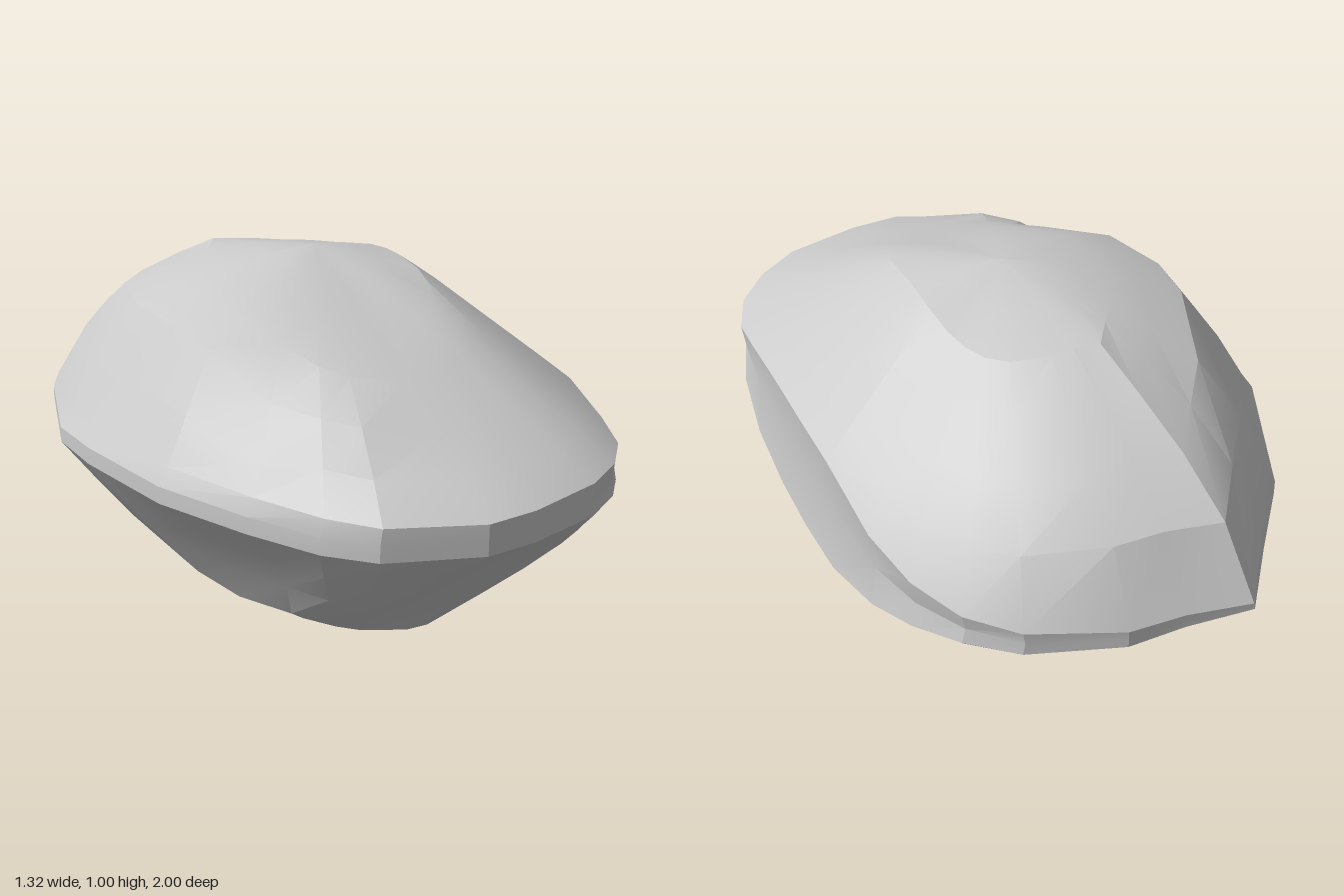
import * as THREE from 'three';
import { toCreasedNormals } from 'three/addons/utils/BufferGeometryUtils.js';

// Rim outline, counter-clockwise from the front: x, z, upper edge y, lower edge y
const RIM = [
  [0.1, 0.995, 0.57, 0.48], [0.33, 0.94, 0.57, 0.475], [0.46, 0.86, 0.565, 0.47], [0.56, 0.75, 0.56, 0.45],
  [0.62, 0.6, 0.57, 0.38], [0.645, 0.42, 0.62, 0.31], [0.655, 0.2, 0.64, 0.27], [0.66, 0, 0.64, 0.26],
  [0.655, -0.2, 0.62, 0.25], [0.62, -0.4, 0.5, 0.26], [0.57, -0.56, 0.44, 0.29], [0.49, -0.71, 0.41, 0.32],
  [0.37, -0.83, 0.4, 0.33], [0.12, -0.94, 0.4, 0.35], [-0.04, -0.955, 0.41, 0.37], [-0.22, -1, 0.42, 0.4],
  [-0.36, -0.81, 0.47, 0.41], [-0.5, -0.63, 0.51, 0.43], [-0.65, -0.25, 0.55, 0.46], [-0.66, -0.05, 0.57, 0.47],
  [-0.61, 0.28, 0.57, 0.47], [-0.5, 0.56, 0.57, 0.47], [-0.4, 0.76, 0.57, 0.47], [-0.3, 0.885, 0.57, 0.475],
  [-0.05, 1, 0.57, 0.48],
];

// Height profiles towards the front, +x, back and -x sides
const DOME_T = [0.12, 0.28, 0.45, 0.6, 0.8];
const DOME_H = [
  [0.15, 0.3, 0.5, 0.66, 0.86],
  [0.18, 0.42, 0.67, 0.87, 0.95],
  [0.34, 0.55, 0.73, 0.88, 0.95],
  [0.33, 0.69, 0.81, 0.89, 0.96],
];
const BASE_T = [0.2, 0.45, 0.75, 1];
const BASE_H = [
  [0.17, 0.38, 0.68, 1],
  [0.28, 0.56, 0.84, 1],
  [0.2, 0.45, 0.77, 1],
  [0.23, 0.53, 0.88, 1],
];

// Blend the four side profiles by direction
function blend(table, k, nx, nz) {
  const w = [Math.max(nz, 0), Math.max(nx, 0), Math.max(-nz, 0), Math.max(-nx, 0)];
  return w.reduce((sum, v, i) => sum + v * v * table[i][k], 0);
}

const bump = (p, x, y, z, size) =>
  Math.exp(-((p.x - x) ** 2 + (p.y - y) ** 2 + (p.z - z) ** 2) / (size * size));

// One vertical column of points, from the foot up to just below the peak
function column([x, z, yUpper, yLower], peak) {
  const upper = new THREE.Vector3(x, yUpper, z);
  const lower = new THREE.Vector3(x, yLower, z);
  const len = Math.hypot(x / 0.66, z);
  const nx = x / 0.66 / len, nz = z / len;
  const foot = new THREE.Vector3(0.03 + 0.31 * nx, 0.03 - 0.025 * nx + 0.015 * nz, 0.1 + 0.46 * nz);
  const middle = upper.clone().lerp(lower, 0.5);
  middle.x *= 1 - 0.03 * Math.max(nx, 0);
  upper.x *= 1 - 0.05 * Math.max(-nx, 0);

  const base = BASE_T.map((t, k) => {
    const p = lower.clone().lerp(foot, t);
    const h = blend(BASE_H, k, nx, nz);
    const fullness = 0.8 * Math.abs(nx * nz) * h * (1 - h); // rounder at the diagonals
    p.y = THREE.MathUtils.lerp(lower.y, foot.y, h + fullness);
    p.x += 0.08 * bump(p, -0.48, 0.28, 0.42, 0.16); // notch under the rim
    return p;
  }).reverse();
  const dome = DOME_T.map((t, k) => {
    const p = upper.clone().lerp(peak, t);
    p.y = THREE.MathUtils.lerp(upper.y, peak.y, blend(DOME_H, k, nx, nz));
    p.y -= 0.09 * bump(p, -0.4, 0.75, 0.42, 0.17); // hollow beside the crown
    p.y -= 0.04 * bump(p, 0.28, 0.88, -0.35, 0.25); // flatter back shoulder
    return p;
  });
  return [...base, lower, middle, upper, ...dome];
}

function boulderGeometry() {
  const peak = new THREE.Vector3(0.05, 1, -0.02);
  const columns = RIM.map((row) => column(row, peak));
  const rings = columns[0].length;
  const positions = columns.flat().flatMap((p) => [p.x, p.y, p.z]);
  const bottomIndex = positions.length / 3, topIndex = bottomIndex + 1;
  positions.push(0.03, 0.02, 0.08, peak.x, peak.y, peak.z);

  const index = [];
  for (let j = 0; j < columns.length; j++) {
    const a = j * rings, b = ((j + 1) % columns.length) * rings;
    for (let i = 0; i < rings - 1; i++) {
      index.push(a + i, b + i, b + i + 1, a + i, b + i + 1, a + i + 1);
    }
    index.push(bottomIndex, b, a, a + rings - 1, b + rings - 1, topIndex);
  }
  const geometry = new THREE.BufferGeometry();
  geometry.setAttribute('position', new THREE.Float32BufferAttribute(positions, 3));
  geometry.setIndex(index);
  return toCreasedNormals(geometry, 0.3);
}

export function createModel() {
  const group = new THREE.Group();
  group.name = 'rock';
  const boulder = new THREE.Mesh(boulderGeometry(), new THREE.MeshStandardMaterial({ color: 0xcccccc }));
  boulder.name = 'boulder';
  group.add(boulder);
  return group;
}
